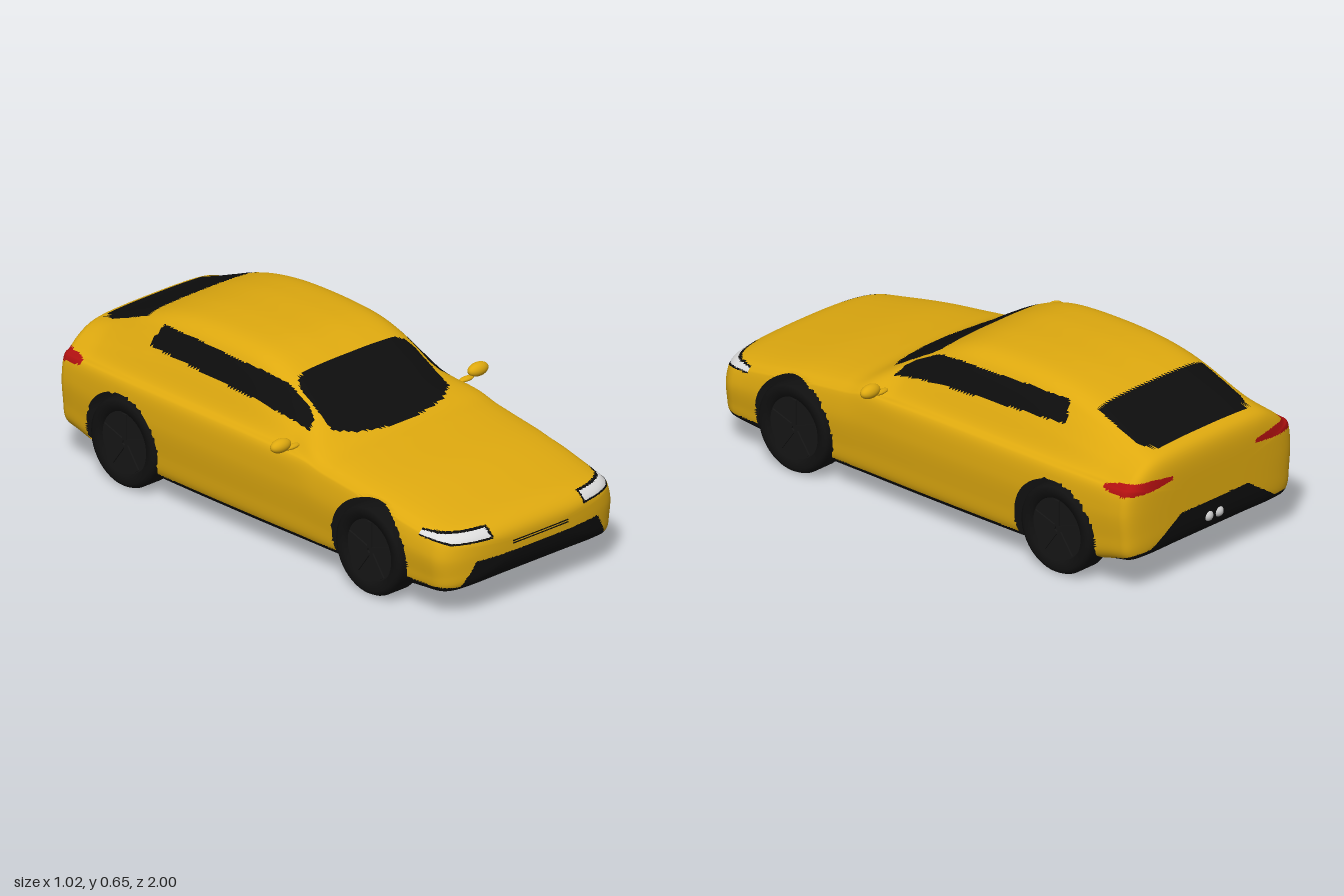
import * as THREE from 'three';

const mat = (name, color, side = THREE.FrontSide) => {
  const m = new THREE.MeshStandardMaterial({ color, side });
  m.name = name;
  return m;
};
const paint = mat('yellow paint', 0xdea90f, THREE.DoubleSide);
const black = mat('black trim and glass', 0x0d0d0d, THREE.DoubleSide);
const tyre = mat('tyre rubber', 0x101010);
const rimMat = mat('dark rim', 0x161616);
const white = mat('headlamp white', 0xdcdcdc, THREE.DoubleSide);
const red = mat('tail lamp red', 0xb01010, THREE.DoubleSide);
const silver = mat('exhaust silver', 0xc8c8c8);

// Smooth function through [z, value] points
function curve(p) {
  const slope = (i) => {
    const a = p[Math.max(i - 1, 0)], b = p[Math.min(i + 1, p.length - 1)];
    return (b[1] - a[1]) / (b[0] - a[0]);
  };
  return (z) => {
    let i = 0;
    while (i < p.length - 2 && z > p[i + 1][0]) i++;
    const h = p[i + 1][0] - p[i][0], t = (z - p[i][0]) / h, u = 1 - t;
    return u * u * (1 + 2 * t) * p[i][1] + t * t * (3 - 2 * t) * p[i + 1][1]
      + h * t * u * (u * slope(i) - t * slope(i + 1));
  };
}
const top = curve([[-1, 0.485], [-0.9, 0.512], [-0.8, 0.553], [-0.7, 0.595], [-0.6, 0.625], [-0.48, 0.645], [-0.33, 0.653],
  [-0.15, 0.648], [-0.05, 0.63], [0.05, 0.59], [0.15, 0.532], [0.25, 0.47], [0.32, 0.435], [0.4, 0.42],
  [0.6, 0.392], [0.8, 0.356], [0.9, 0.338], [1, 0.322]]);
const bottom = curve([[-1, 0.13], [-0.9, 0.118], [-0.82, 0.1], [-0.7, 0.08], [0.65, 0.078], [0.8, 0.088], [1, 0.1]]);
const width = curve([[-1, 0.425], [-0.85, 0.435], [-0.6, 0.445], [0, 0.441], [0.4, 0.432], [0.7, 0.426], [0.86, 0.416], [1, 0.41]]);

// Half cross-section: x as part of the width, y as part of the lower / upper height
const LOWER = [[0, 0], [0.4, 0], [0.8, 0], [0.92, 0.03], [0.965, 0.12], [0.985, 0.35], [1, 0.7], [0.965, 1]];
const CABIN = [[0.9, 0.08], [0.8, 0.4], [0.7, 0.7], [0.63, 0.86], [0.53, 0.95], [0.27, 0.995], [0, 1]];
const HOOD = [[0.95, 0.15], [0.9, 0.45], [0.82, 0.65], [0.7, 0.8], [0.52, 0.91], [0.27, 0.98], [0, 1]];
const RING = 224;

function section(z) {
  const T = top(z), B = bottom(z), W = width(z), d = T - 0.45;
  const S = T - 0.05 - 0.5 * (d + Math.sqrt(d * d + 0.001));
  const c = THREE.MathUtils.smoothstep(T, 0.43, 0.54);
  const half = LOWER.map(([x, y]) => [x * W, B + y * (S - B)]);
  CABIN.forEach(([x, y], i) => {
    const [hx, hy] = HOOD[i];
    half.push([W * (hx + (x - hx) * c), S + (T - S) * (hy + (y - hy) * c)]);
  });
  const mirrored = half.slice(1, -1).reverse().map(([x, y]) => [-x, y]);
  const pts = [...half, ...mirrored].map(([x, y]) => new THREE.Vector3(x, y, 0));
  return new THREE.CatmullRomCurve3(pts, true).getPoints(RING).slice(0, RING);
}

// Stations along the body; both ends close with rounded caps
function stations() {
  const list = [], N = 50;
  const cap = (z0, depth, p) => Array.from({ length: N }, (_, k) => {
    const s = 1 - ((k + 1) / N) ** 1.6;
    return { z: z0 + depth * (1 - s ** p) ** (1 / p), s };
  });
  list.push(...cap(-0.9, -0.093, 5).reverse());
  for (let i = 0; i <= 130; i++) list.push({ z: -0.9 + 1.76 * i / 130, s: 1 });
  list.push(...cap(0.86, 0.14, 3));
  return list;
}

function inside(poly, x, y) {
  let hit = false;
  for (let i = 0, j = poly.length - 1; i < poly.length; j = i++) {
    const [xi, yi] = poly[i], [xj, yj] = poly[j];
    if ((yi > y) !== (yj > y) && x < (xj - xi) * (y - yi) / (yj - yi) + xi) hit = !hit;
  }
  return hit;
}
// Outlines of painted areas: (z, y) for the side, (|x|, z) from above, (|x|, y) for the ends
const SIDE_GLASS = [[0.195, 0.458], [0.18, 0.488], [0.1, 0.545], [0.03, 0.57], [-0.07, 0.586], [-0.4, 0.596], [-0.58, 0.592],
  [-0.608, 0.522], [-0.37, 0.515], [-0.02, 0.497], [0.1, 0.478]];
const WINDSCREEN = [[-0.01, 0.03], [0.2, 0.035], [0.25, 0.045], [0.265, 0.08], [0.275, 0.25], [0.2, 0.29], [0.1, 0.312], [-0.01, 0.32]];
const REAR_GLASS = [[-0.01, -0.69], [0.265, -0.69], [0.265, -0.87], [0.25, -0.91], [0.21, -0.936], [-0.01, -0.938]];
const LAMP_EDGE = [[0.213, 0.277], [0.213, 0.317], [0.39, 0.317], [0.43, 0.303], [0.37, 0.28]];
const LAMP = [[0.222, 0.284], [0.222, 0.312], [0.39, 0.312], [0.42, 0.303], [0.36, 0.286]];
const ARCHES = [0.588, -0.642], ARCH_R = 0.184, ARCH_Y = 0.17;

// 0 paint, 1 black, 2 white, 3 red, -1 open wheel arch
function region(x, y, z) {
  const ax = Math.abs(x);
  if (ax > 0.28 && ARCHES.some((c) => Math.hypot(z - c, y - ARCH_Y) < ARCH_R)) return -1;
  let low = 0.105;
  if (z > 0.75) low = Math.max(0.122, z > 0.88 ? Math.min(0.21, 0.13 + (0.335 - ax) * 1.6) : 0);
  if (z < -0.83) low = Math.max(0.105 + (-0.83 - z) * 0.33, z < -0.93 ? Math.min(0.25, 0.165 + (0.3 - ax) * 0.65) : 0);
  if (y < low) return 1;
  if (z > 0.82 && inside(LAMP, ax, y)) return 2;
  if (z > 0.82 && inside(LAMP_EDGE, ax, y)) return 1;
  if (z < -0.86 && ax > 0.21) {
    const h = 0.007 + 0.012 * Math.min(1, (-0.86 - z) / 0.08, (ax - 0.21) / 0.1);
    if (Math.abs(y - 0.395) < h) return 3;
  }
  if (ax > 0.28 && inside(SIDE_GLASS, z, y)) return 1;
  if (y > 0.42 && (inside(WINDSCREEN, ax, z) || inside(REAR_GLASS, ax, z))) return 1;
  return 0;
}

function bodyGeometry() {
  const pos = [], faces = [[], [], [], []], list = stations();
  for (const { z, s } of list) {
    const yc = z > 0 ? 0.24 : 0.3;
    for (const p of section(z)) {
      let x = p.x * s, y = yc + (p.y - yc) * s, pz = z;
      // Pull points near a wheel arch onto its circle
      for (const c of ARCHES) {
        const r = Math.hypot(z - c, y - ARCH_Y);
        if (Math.abs(x) > 0.28 && y > 0.1 && Math.abs(r - ARCH_R) < 0.006) {
          pz = c + (z - c) * ARCH_R / r;
          y = ARCH_Y + (y - ARCH_Y) * ARCH_R / r;
        }
      }
      pos.push(x, y, pz);
    }
  }
  const add = (...t) => {
    const mid = (k) => (pos[t[0] * 3 + k] + pos[t[1] * 3 + k] + pos[t[2] * 3 + k]) / 3;
    const r = region(mid(0), mid(1), mid(2));
    if (r >= 0) faces[r].push(...t);
  };
  for (let i = 0; i < list.length - 1; i++) {
    for (let j = 0; j < RING; j++) {
      const a = i * RING + j, b = i * RING + (j + 1) % RING;
      add(a, b, a + RING);
      add(b, b + RING, a + RING);
    }
  }
  const g = new THREE.BufferGeometry();
  g.setAttribute('position', new THREE.Float32BufferAttribute(pos, 3));
  g.setIndex(faces.flat());
  let start = 0;
  faces.forEach((f, m) => { g.addGroup(start, f.length, m); start += f.length; });
  g.computeVertexNormals();
  return g;
}

function makeWheel() {
  const wheel = new THREE.Group();
  const side = [[0.112, 0.04], [0.12, 0.056], [0.145, 0.06], [0.158, 0.054], [0.165, 0.04]];
  const profile = [...side.map(([r, h]) => [r, -h]), ...side.slice().reverse()];
  const tyreMesh = new THREE.Mesh(new THREE.LatheGeometry(profile.map(([r, h]) => new THREE.Vector2(r, h)), 48), tyre);
  tyreMesh.name = 'tyre';
  const rim = new THREE.Mesh(new THREE.CylinderGeometry(0.114, 0.114, 0.084, 40), rimMat);
  rim.name = 'rim';
  wheel.add(tyreMesh, rim);
  for (let i = 0; i < 5; i++) {
    const spoke = new THREE.Mesh(new THREE.BoxGeometry(0.1, 0.096, 0.02), rimMat);
    const a = i * Math.PI * 2 / 5;
    spoke.position.set(Math.cos(a) * 0.058, 0, -Math.sin(a) * 0.058);
    spoke.rotation.y = a;
    spoke.name = 'spoke';
    wheel.add(spoke);
  }
  wheel.rotation.z = Math.PI / 2;
  return wheel;
}

export function createModel() {
  const car = new THREE.Group();
  car.name = 'car';
  const put = (name, geo, m, x, y, z) => {
    const mesh = new THREE.Mesh(geo, m);
    mesh.name = name;
    mesh.position.set(x, y, z);
    car.add(mesh);
    return mesh;
  };
  put('body', bodyGeometry(), [paint, black, white, red], 0, 0, 0);

  // Thin slots above the grille
  for (const y of [0.238, 0.247]) put('noseSlot', new THREE.BoxGeometry(0.26, 0.004, 0.006), black, 0, y, 0.998);

  const ball = new THREE.SphereGeometry(1, 32, 20);
  for (const s of [1, -1]) {
    const label = s > 0 ? 'left' : 'right';
    put(label + 'Mirror', ball, paint, s * 0.466, 0.443, 0.19).scale.set(0.044, 0.025, 0.025);
    put(label + 'MirrorStalk', ball, paint, s * 0.412, 0.423, 0.19).scale.set(0.034, 0.009, 0.014);
    put(label + 'Exhaust', ball, silver, s * 0.026, 0.19, -0.982).scale.setScalar(0.021);
    for (const z of ARCHES) {
      const wheel = makeWheel();
      wheel.name = label + (z > 0 ? 'FrontWheel' : 'RearWheel');
      wheel.position.set(s * 0.375, 0.165, z);
      car.add(wheel);
    }
  }
  return car;
}
